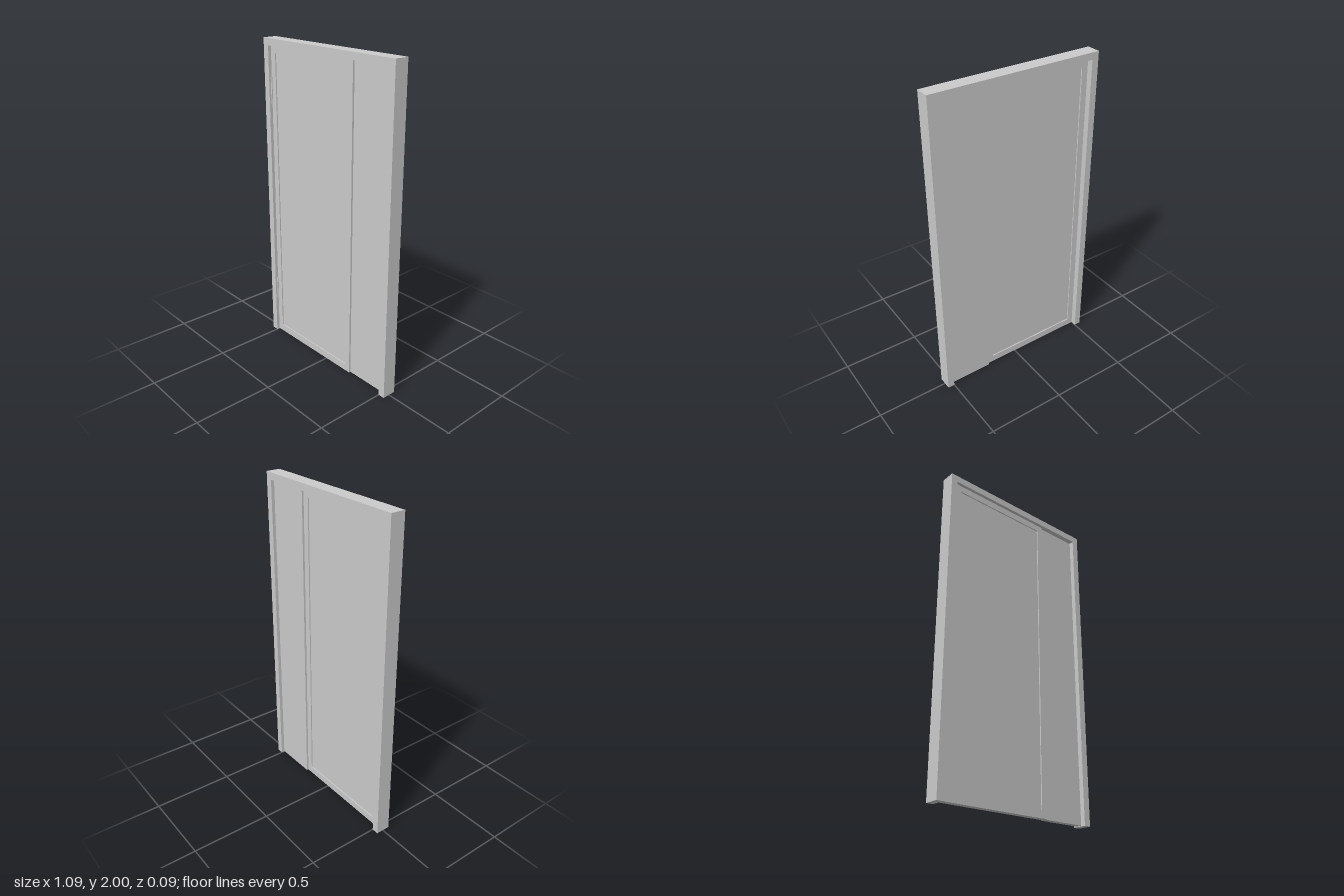
import * as THREE from 'three';

const material = new THREE.MeshStandardMaterial({ color: 0xcccccc });

export function createModel() {
  const door = new THREE.Group();
  door.name = 'door';

  const add = (name, geometry) => {
    const mesh = new THREE.Mesh(geometry, material);
    mesh.name = name;
    door.add(mesh);
    return mesh;
  };

  // box given by its limits on each axis
  const box = (name, x0, x1, y0, y1, z0, z1) => {
    const mesh = add(name, new THREE.BoxGeometry(x1 - x0, y1 - y0, z1 - z0));
    mesh.position.set((x0 + x1) / 2, (y0 + y1) / 2, (z0 + z1) / 2);
    return mesh;
  };

  const outline = (points, Type = THREE.Shape) =>
    new Type(points.map(([x, y]) => new THREE.Vector2(x, y)));
  const rect = (x0, x1, y0, y1) => [[x0, y0], [x1, y0], [x1, y1], [x0, y1]];

  // flat shape extruded between two depths
  const slab = (name, shape, z0, z1) => {
    const geometry = new THREE.ExtrudeGeometry(shape, { depth: z1 - z0, bevelEnabled: false });
    add(name, geometry.translate(0, 0, z0));
  };

  // jambs and head in one piece, open at the floor
  const W = 0.543, IN = 0.5, HEAD = 1.957;
  slab('frame', outline([
    [-W, 0], [-IN, 0], [-IN, HEAD], [IN, HEAD],
    [IN, 0], [W, 0], [W, 2], [-W, 2],
  ]), -0.045, 0.045);

  // wide leaf: a border around a shallow recessed panel on both faces
  const split = 0.22, bottom = 0.004, top = HEAD - 0.002;
  const front = 0.027, back = -0.012, recess = 0.007;
  const panel = [-0.457, 0.18, 0.05, 1.913];
  const border = outline(rect(-IN + 0.003, split, bottom, top));
  border.holes.push(outline(rect(...panel), THREE.Path));
  slab('mainLeafBorder', border, back, front);
  box('mainLeafPanel', ...panel, back + recess, front - recess);

  // narrow leaf, set slightly further back
  box('sideLeaf', split, IN, bottom, top, -0.024, 0.015);

  // hinge plates on the wide leaf
  for (const y of [0.32, 1.685]) {
    box('hinge', -IN, -IN + 0.009, y - 0.083, y + 0.083, 0.01, front + 0.006);
  }

  return door;
}
